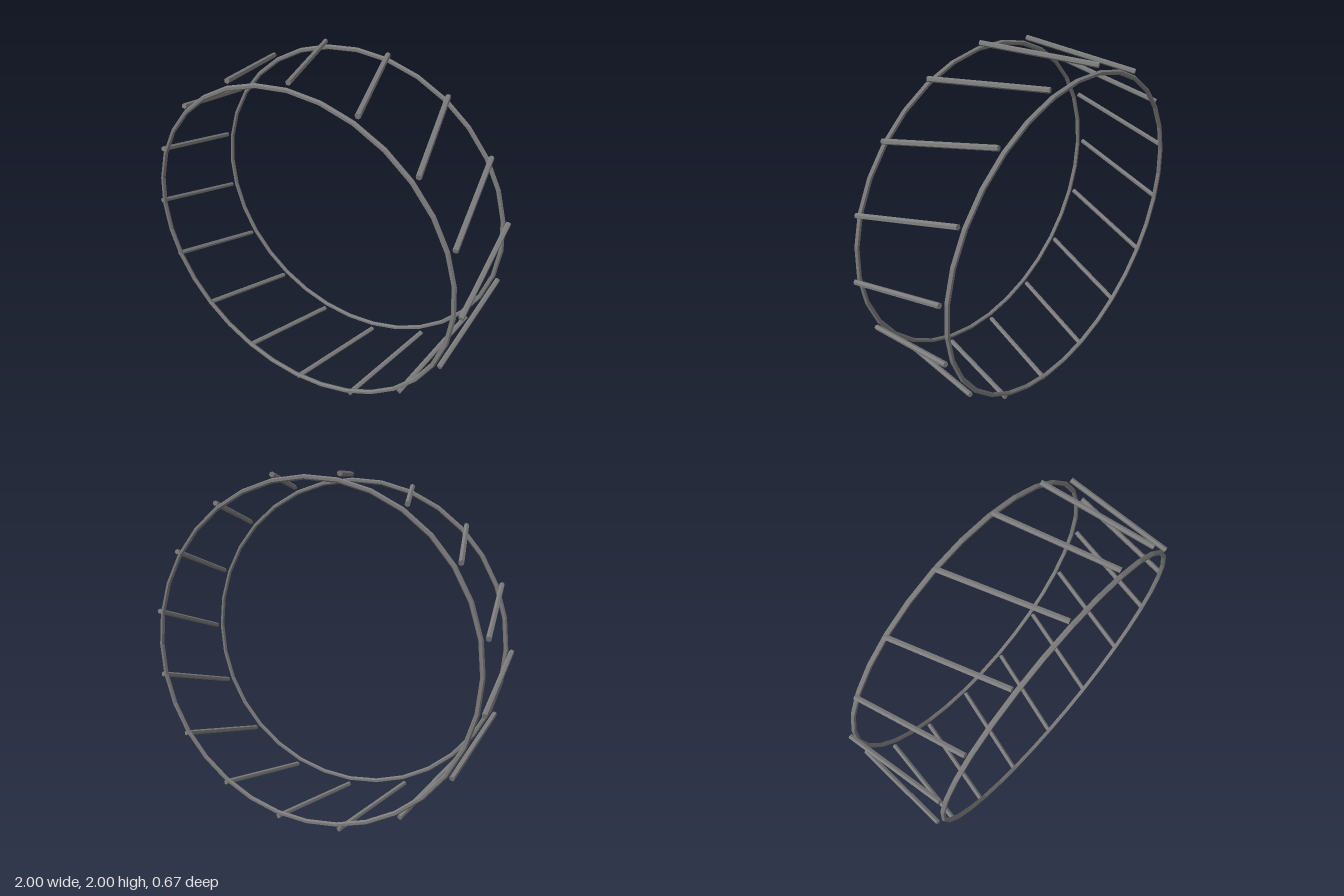
import * as THREE from 'three';

export function createModel() {
  const group = new THREE.Group();
  const steel = new THREE.MeshStandardMaterial({ color: 0x7c7c7c, flatShading: true });
  steel.name = 'greySteel';

  const halfDepth = 0.31;
  const strutRadius = 0.985;
  const step = Math.PI / 16;

  // Front and back hoops, with a joint at every strut end
  const hoopGeometry = new THREE.TorusGeometry(0.951, 0.0135, 6, 32);
  for (const [name, z] of [['frontHoop', 0.323], ['backHoop', -0.323]]) {
    const hoop = new THREE.Mesh(hoopGeometry, steel);
    hoop.name = name;
    hoop.position.set(0, 1, z);
    group.add(hoop);
  }

  // Sixteen slanted struts, each turned one joint from front to back
  const rim = (angle, z) =>
    new THREE.Vector3(Math.cos(angle) * strutRadius, 1 + Math.sin(angle) * strutRadius, z);
  const struts = new THREE.Group();
  struts.name = 'struts';
  const length = rim(0, halfDepth).distanceTo(rim(step, -halfDepth));
  const strutGeometry = new THREE.CylinderGeometry(0.015, 0.015, length, 6);
  for (let i = 0; i < 16; i++) {
    const front = rim(i * 2 * step, halfDepth);
    const back = rim((i * 2 + 1) * step, -halfDepth);
    const strut = new THREE.Mesh(strutGeometry, steel);
    strut.name = 'strut';
    strut.position.copy(front).add(back).multiplyScalar(0.5);
    strut.quaternion.setFromUnitVectors(
      new THREE.Vector3(0, 1, 0), back.clone().sub(front).normalize());
    struts.add(strut);
  }
  group.add(struts);
  return group;
}
